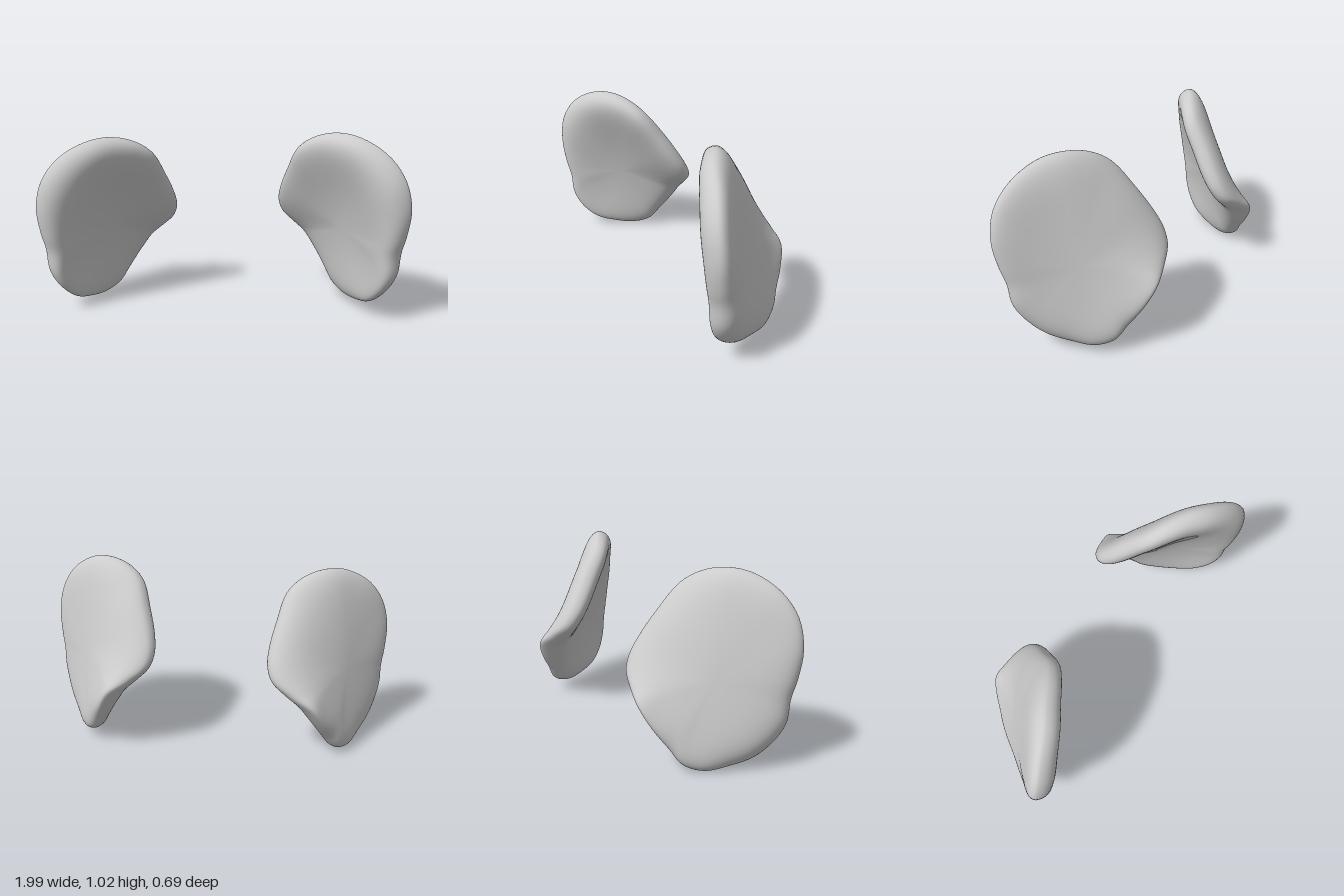
import * as THREE from 'three';
import { mergeVertices } from 'three/addons/utils/BufferGeometryUtils.js';

// Rim of the left plate as [x, y, z], counter-clockwise seen from its outer side
const RIM = [
  [0.53, 0.36, -0.325], [0.43, 0.435, -0.308], [0.35, 0.505, -0.28], [0.325, 0.58, -0.24],
  [0.335, 0.67, -0.185], [0.375, 0.80, -0.10], [0.425, 0.93, 0.00], [0.51, 0.995, 0.07],
  [0.62, 1.02, 0.14], [0.73, 1.00, 0.215], [0.86, 0.92, 0.28], [0.945, 0.80, 0.32],
  [0.98, 0.65, 0.325], [0.965, 0.50, 0.31], [0.945, 0.40, 0.29], [0.93, 0.27, 0.28],
  [0.89, 0.17, 0.235], [0.84, 0.09, 0.15], [0.79, 0.055, 0.04], [0.74, 0.04, -0.08],
  [0.68, 0.075, -0.17], [0.635, 0.15, -0.215], [0.59, 0.25, -0.28],
].map((p) => new THREE.Vector3(...p));

const CENTRE = new THREE.Vector3(0.7, 0.48, 0.01);
const NORMAL = new THREE.Vector3(1, 0.28, -0.87).normalize();
const HALF = 0.08; // half thickness

// Height of the tilted base plane above the centre, along x
const plane = (dy, dz) => 0.87 * dz - 0.28 * dy;

function plateGeometry() {
  const curve = new THREE.CatmullRomCurve3(RIM, true, 'centripetal');
  const nu = 96, nv = 56, reach = 11;
  const rim = Array.from({ length: nu }, (_, i) => curve.getPoint(i / nu).sub(CENTRE));
  // How far the rim curls off the base plane, exact and averaged along the rim
  const bend = rim.map((r) => r.x - plane(r.y, r.z));
  const soft = bend.map((_, i) => {
    let sum = 0;
    for (let k = -reach; k <= reach; k++) sum += bend[(i + k + nu) % nu];
    return sum / (2 * reach + 1);
  });

  const geo = new THREE.SphereGeometry(1, nu, nv);
  const pos = geo.attributes.position;
  const p = new THREE.Vector3();
  // Flatten a sphere into a dished slab: outer pole, round the rim, inner pole
  for (let j = 0; j <= nv; j++) {
    const side = 1 - (2 * j) / nv;
    const t = Math.sin((1 - Math.abs(side)) * Math.PI / 2);
    const round = Math.sqrt(Math.max(0, 1 - t ** 7));
    for (let i = 0; i <= nu; i++) {
      const k = i % nu;
      const { y, z } = rim[k];
      // The inner face is hollowed, with its thickest lip along the upper half
      const lip = 0.45 + 0.35 * THREE.MathUtils.smoothstep(y, -0.3, 0.3);
      const offset = HALF * round * (side > 0 ? 0.8 + 0.2 * t * t : -(0.75 + lip * t * t));
      const curl = soft[k] * t ** 2 + (bend[k] - soft[k]) * t ** 5;
      p.set(t * plane(y, z) + curl, t * y, t * z).add(CENTRE).addScaledVector(NORMAL, offset);
      pos.setXYZ(j * (nu + 1) + i, p.x, p.y, p.z);
    }
  }
  geo.deleteAttribute('uv');
  geo.deleteAttribute('normal');
  const merged = mergeVertices(geo, 1e-5);
  merged.computeVertexNormals();
  return merged;
}

export function createModel() {
  const group = new THREE.Group();
  const geo = plateGeometry();
  const material = new THREE.MeshStandardMaterial({ color: 0xcccccc, roughness: 0.8 });

  const left = new THREE.Mesh(geo, material);
  left.name = 'leftPlate';

  // Mirrored twin sits slightly lower, its foot swung a little outwards
  const right = new THREE.Mesh(geo, material);
  right.name = 'rightPlate';
  right.scale.x = -1;
  right.rotation.z = -0.03;
  right.position.set(-0.02, -0.06, 0);

  group.add(left, right);
  return group;
}
